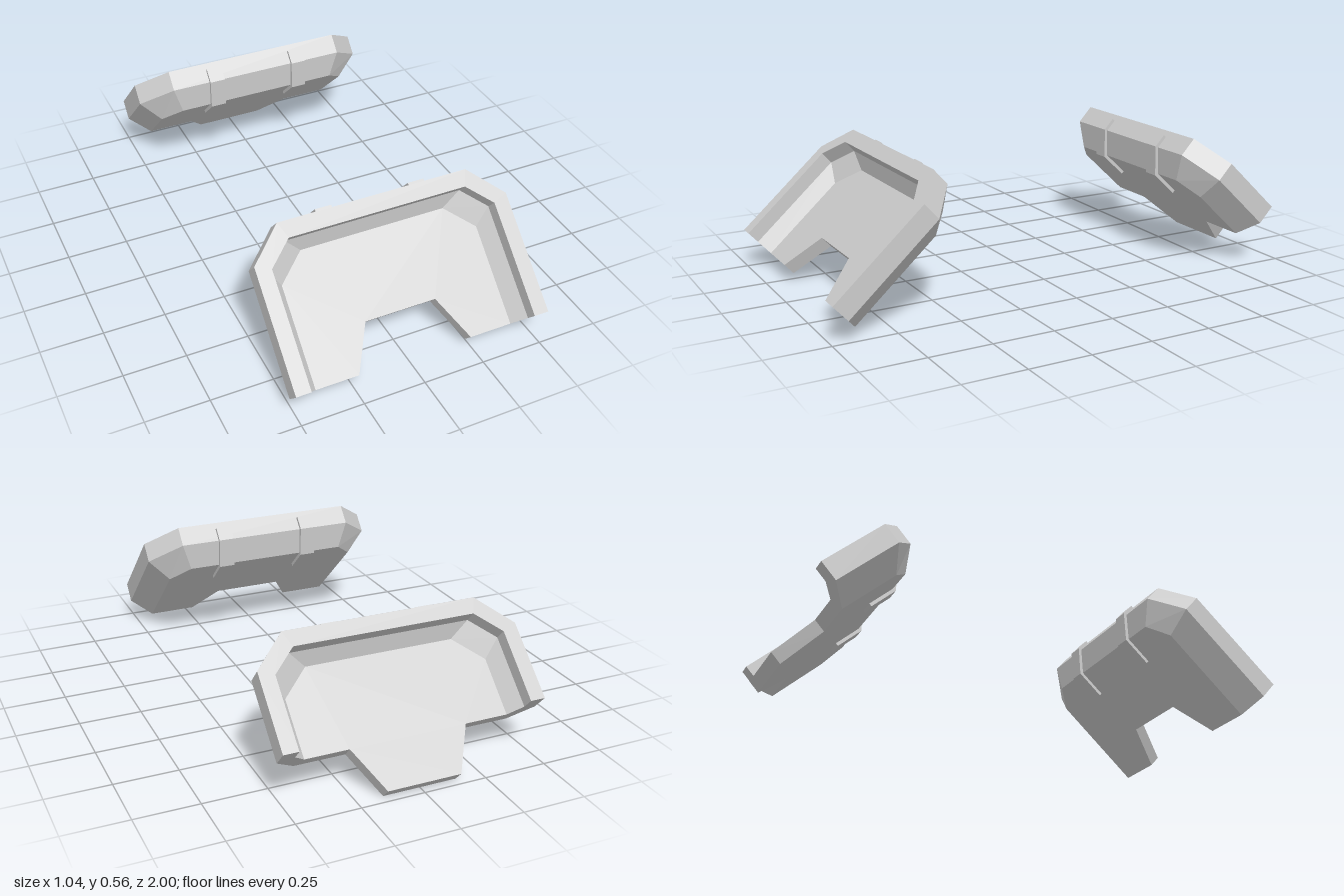
import * as THREE from 'three';

const material = new THREE.MeshStandardMaterial({ color: 0xcccccc, flatShading: true, side: THREE.DoubleSide });

// Heights of the shell's layers: rim plane is 0, depth goes down
const BACK = -0.1665, FLOOR = -0.112;

// Rim cross-section, from the back round the rim to the floor:
// side x, height of corner start, x of corner end, top height, depth
const PROFILE = [
  [0.435, 0.435, 0.355, 0.525, BACK],
  [0.52, 0.475, 0.39, 0.605, -0.085],
  [0.52, 0.475, 0.39, 0.605, 0],
  [0.46, 0.45, 0.365, 0.541, 0],
  [0.46, 0.45, 0.365, 0.541, -0.057],
  [0.41, 0.393, 0.3, 0.498, FLOOR],
  [0.41, 0.393, 0.3, 0.498, BACK],
];

// Chamfered arch outline of one profile point, right foot to left foot
function arch([x, corner, topX, top, depth], drop) {
  const half = [[x, 0], [x, corner - drop], [topX, top - drop]];
  const mirrored = half.map(([a, b]) => [-a, b]).reverse();
  return [...half, ...mirrored].map(([a, b]) => new THREE.Vector3(a, b, depth));
}

function rimGeometry(drop) {
  const rings = PROFILE.map((p) => arch(p, drop));
  const count = rings.length, last = rings[0].length - 1;
  const points = [];
  for (let k = 0; k < count; k++) {
    if (k === 5) continue; // joint with the floor plate stays hidden
    const next = (k + 1) % count;
    for (let s = 0; s < last; s++) {
      const a = rings[k][s], b = rings[next][s], c = rings[next][s + 1], d = rings[k][s + 1];
      points.push(a, d, c, a, c, b);
    }
  }
  // Flat ends of the two arms
  const section = rings.map((r) => new THREE.Vector2(r[0].x, r[0].z));
  for (const [i, j, k] of THREE.ShapeUtils.triangulateShape(section, [])) {
    points.push(rings[i][0], rings[j][0], rings[k][0]);
    points.push(rings[i][last], rings[k][last], rings[j][last]);
  }
  const geometry = new THREE.BufferGeometry().setFromPoints(points);
  geometry.computeVertexNormals();
  return geometry;
}

// Floor plate whose lower edge has a notch (up) or a tab (down)
function plateGeometry(drop, step) {
  const outline = arch(PROFILE[5], drop).map((p) => new THREE.Vector2(p.x, p.y));
  for (const [x, y] of [[-0.235, 0], [-0.147, step], [0.147, step], [0.235, 0]]) {
    outline.push(new THREE.Vector2(x, y));
  }
  const geometry = new THREE.ExtrudeGeometry(new THREE.Shape(outline), { depth: FLOOR - BACK, bevelEnabled: false });
  return geometry.translate(0, 0, BACK);
}

// Thin strap bent round the top edge and onto the back
function strapGeometry(drop) {
  const width = 0.066;
  const path = [
    [0.6, -0.03], [0.618, -0.03], [0.618, -0.09], [0.531, -0.18],
    [0.4, -0.18], [0.4, -0.162], [0.522, -0.162], [0.6, -0.083],
  ];
  // Drawn as (-depth, height), then turned so the extrusion runs along x
  const shape = new THREE.Shape(path.map(([h, d]) => new THREE.Vector2(-d, h - drop)));
  const geometry = new THREE.ExtrudeGeometry(shape, { depth: width, bevelEnabled: false });
  return geometry.translate(0, 0, -width / 2).rotateY(Math.PI / 2);
}

function createShell(name, drop, step) {
  const shell = new THREE.Group();
  shell.name = name;
  const add = (part, geometry, x = 0) => {
    const mesh = new THREE.Mesh(geometry, material);
    mesh.name = part;
    mesh.position.x = x;
    shell.add(mesh);
  };
  add('rim', rimGeometry(drop));
  add('floorPlate', plateGeometry(drop, step));
  const strap = strapGeometry(drop);
  add('leftStrap', strap, 0.193);
  add('rightStrap', strap, -0.193);
  shell.rotation.order = 'YXZ';
  return shell;
}

export function createModel() {
  const model = new THREE.Group();
  model.name = 'pairOfShells';

  // Longer front shell with a notch
  const front = createShell('frontShell', 0, 0.177);
  front.rotation.x = THREE.MathUtils.degToRad(-48);
  front.position.set(0, 0.155, 1);

  // Shorter rear shell with a tab, facing backwards
  const rear = createShell('rearShell', 0.165, -0.177);
  rear.rotation.set(THREE.MathUtils.degToRad(-47), Math.PI, 0);
  rear.position.set(0, 0.245, -0.945);

  model.add(front, rear);
  return model;
}
